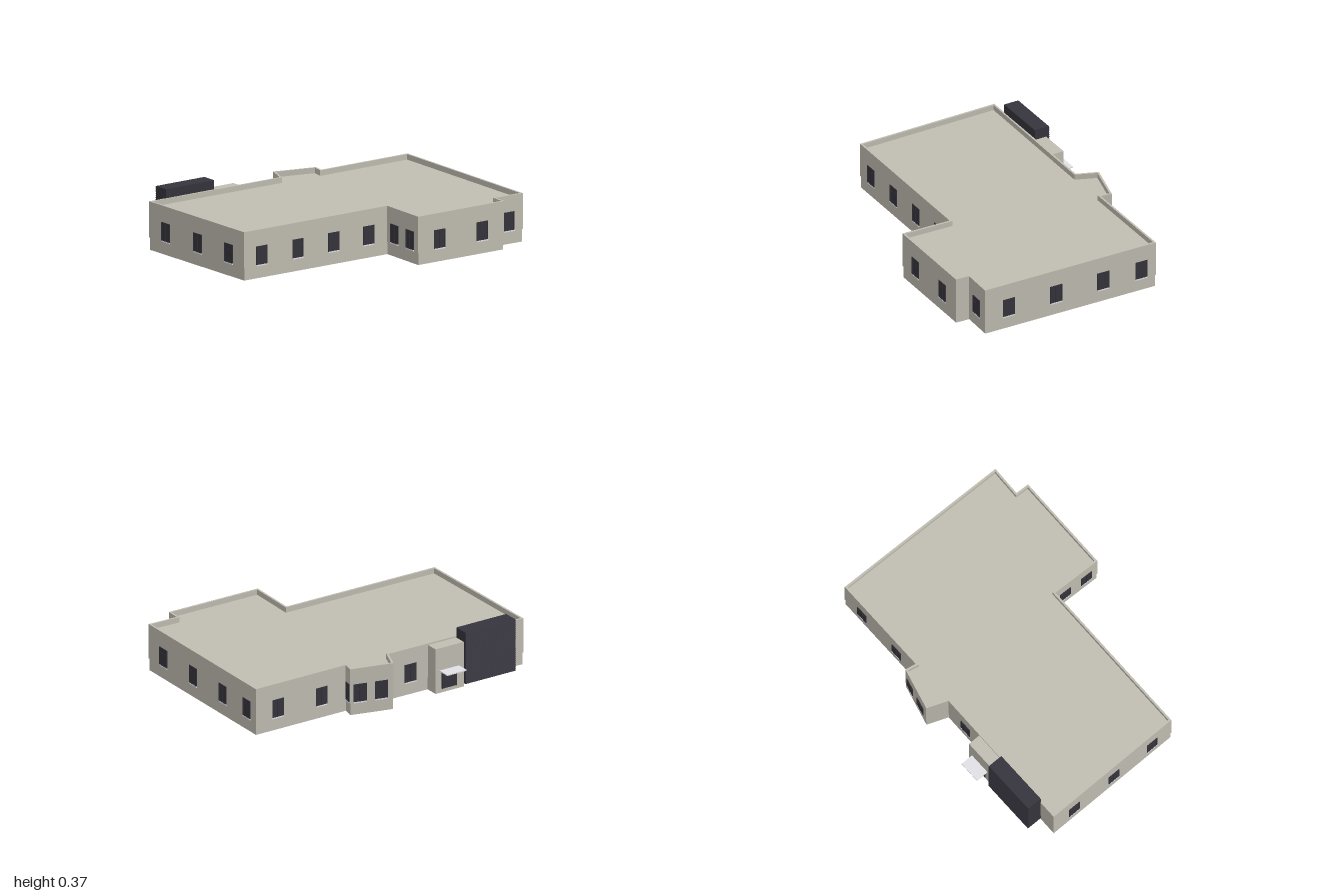
import * as THREE from 'three';

const material = (name, color) => new THREE.MeshStandardMaterial({ name, color });

// Footprint corners as [x, z], running clockwise seen from above
const OUTLINE = [
  [-0.564, -0.995], [0.649, -0.972], [0.643, -0.767], [0.734, -0.763],
  [0.728, -0.102], [0.396, -0.113], [0.388, 0.988], [-0.579, 0.994],
  [-0.57, -0.008], [-0.706, -0.062], [-0.636, -0.34], [-0.564, -0.325],
];

// Outward unit normal, start point and length of one footprint edge
function edge(i) {
  const n = OUTLINE.length;
  const [ax, az] = OUTLINE[(i + n) % n];
  const [bx, bz] = OUTLINE[(i + 1) % n];
  const length = Math.hypot(bx - ax, bz - az);
  const dx = (bx - ax) / length, dz = (bz - az) / length;
  return { ax, az, dx, dz, nx: dz, nz: -dx, length };
}

// Footprint moved inwards by a distance, as points for a shape (y = -z)
function insetPoints(d) {
  return OUTLINE.map(([x, z], i) => {
    const a = edge(i - 1), b = edge(i);
    const k = d / (1 + a.nx * b.nx + a.nz * b.nz);
    return new THREE.Vector2(x - (a.nx + b.nx) * k, -(z - (a.nz + b.nz) * k));
  });
}

// Upright slab or ring made from the footprint; the hole runs the other way round
function footprint(outer, inner, y0, y1) {
  const shape = new THREE.Shape(insetPoints(outer).reverse());
  if (inner !== null) shape.holes.push(new THREE.Path(insetPoints(inner)));
  const g = new THREE.ExtrudeGeometry(shape, { depth: y1 - y0, bevelEnabled: false });
  return g.rotateX(-Math.PI / 2).translate(0, y0, 0);
}

export function createModel() {
  const wall = material('wallStone', 0xc1beb2);
  const dark = material('darkMetal', 0x36343c);
  const light = material('lightTrim', 0xe2e1e6);

  const model = new THREE.Group();
  model.name = 'building';

  function add(parent, name, geometry, mat) {
    const mesh = new THREE.Mesh(geometry, mat);
    mesh.name = name;
    parent.add(mesh);
  }
  // Box given by its limits
  function box(parent, name, mat, [x0, x1], [y0, y1], [z0, z1]) {
    const g = new THREE.BoxGeometry(x1 - x0, y1 - y0, z1 - z0);
    g.translate((x0 + x1) / 2, (y0 + y1) / 2, (z0 + z1) / 2);
    add(parent, name, g, mat);
  }

  // Shell: recessed plinth, walls with parapet, and the sunken flat roof
  add(model, 'plinth', footprint(0.004, 0.013, 0, 0.08), wall);
  add(model, 'walls', footprint(0, 0.013, 0.08, 0.31), wall);
  add(model, 'roof', footprint(0.01, null, 0.268, 0.275), wall);

  // Dark window with a raised frame, crossbar, mullion and light sill
  function addWindow(i, along, width = 0.085) {
    const e = edge(i);
    const g = new THREE.Group();
    g.name = 'window';
    g.position.set(e.ax + e.dx * along, 0, e.az + e.dz * along);
    g.rotation.y = Math.atan2(e.nx, e.nz);
    const w = width / 2, f = 0.007;
    box(g, 'pane', dark, [-w, w], [0.087, 0.205], [-0.002, 0.002]);
    for (const x of [-w, -f / 2, w - f])
      box(g, 'frameUpright', dark, [x, x + f], [0.087, 0.205], [0, 0.004]);
    for (const y of [0.087, 0.165, 0.198])
      box(g, 'frameBar', dark, [-w, w], [y, y + f], [0, 0.0038]);
    box(g, 'sill', light, [-w, w], [0.079, 0.087], [-0.002, 0.005]);
    model.add(g);
  }

  // Windows per wall: edge index and the x or z of each window centre
  const byX = [[0, [-0.46, -0.19, 0.145, 0.48]], [4, [0.64, 0.473]], [6, [0.23, -0.085, -0.41]]];
  const byZ = [
    [1, [-0.865]], [3, [-0.595, -0.265]], [5, [0.03, 0.3, 0.575, 0.853]],
    [7, [0.155]], [9, [-0.14, -0.276]], [11, [-0.505, -0.83]],
  ];
  for (const [i, list] of byX)
    for (const x of list) addWindow(i, (x - edge(i).ax) / edge(i).dx);
  for (const [i, list] of byZ)
    for (const z of list) addWindow(i, (z - edge(i).az) / edge(i).dz);
  addWindow(10, edge(10).length / 2, 0.055);

  // Entrance block with door and thin canopy
  box(model, 'entranceBlock', wall, [-0.657, -0.568], [0, 0.3], [0.285, 0.495]);
  box(model, 'entranceDoor', dark, [-0.661, -0.656], [0.025, 0.135], [0.33, 0.44]);
  for (const z of [0.33, 0.3815, 0.433])
    box(model, 'doorFrame', dark, [-0.664, -0.66], [0.025, 0.135], [z, z + 0.007]);
  box(model, 'canopy', light, [-0.742, -0.655], [0.144, 0.151], [0.313, 0.459]);

  // Louvred plant enclosure with a saw-tooth outer face
  const y0 = 0.022, y1 = 0.368, teeth = 26, step = (y1 - y0) / teeth;
  const profile = new THREE.Shape();
  profile.moveTo(-0.575, y0);
  profile.lineTo(-0.575, y1);
  for (let i = 0; i < teeth; i++) {
    const y = y1 - i * step;
    profile.lineTo(-0.676, y);
    profile.lineTo(-0.681, y - step * 0.7);
    profile.lineTo(-0.676, y - step * 0.75);
  }
  profile.lineTo(-0.676, y0);
  const louvre = new THREE.ExtrudeGeometry(profile, { depth: 0.373, bevelEnabled: false });
  add(model, 'louvredEnclosure', louvre.translate(0, 0, 0.495), dark);
  box(model, 'enclosureInnerPanel', dark, [-0.568, -0.56], [y0, 0.268], [0.495, 0.868]);

  return model;
}
